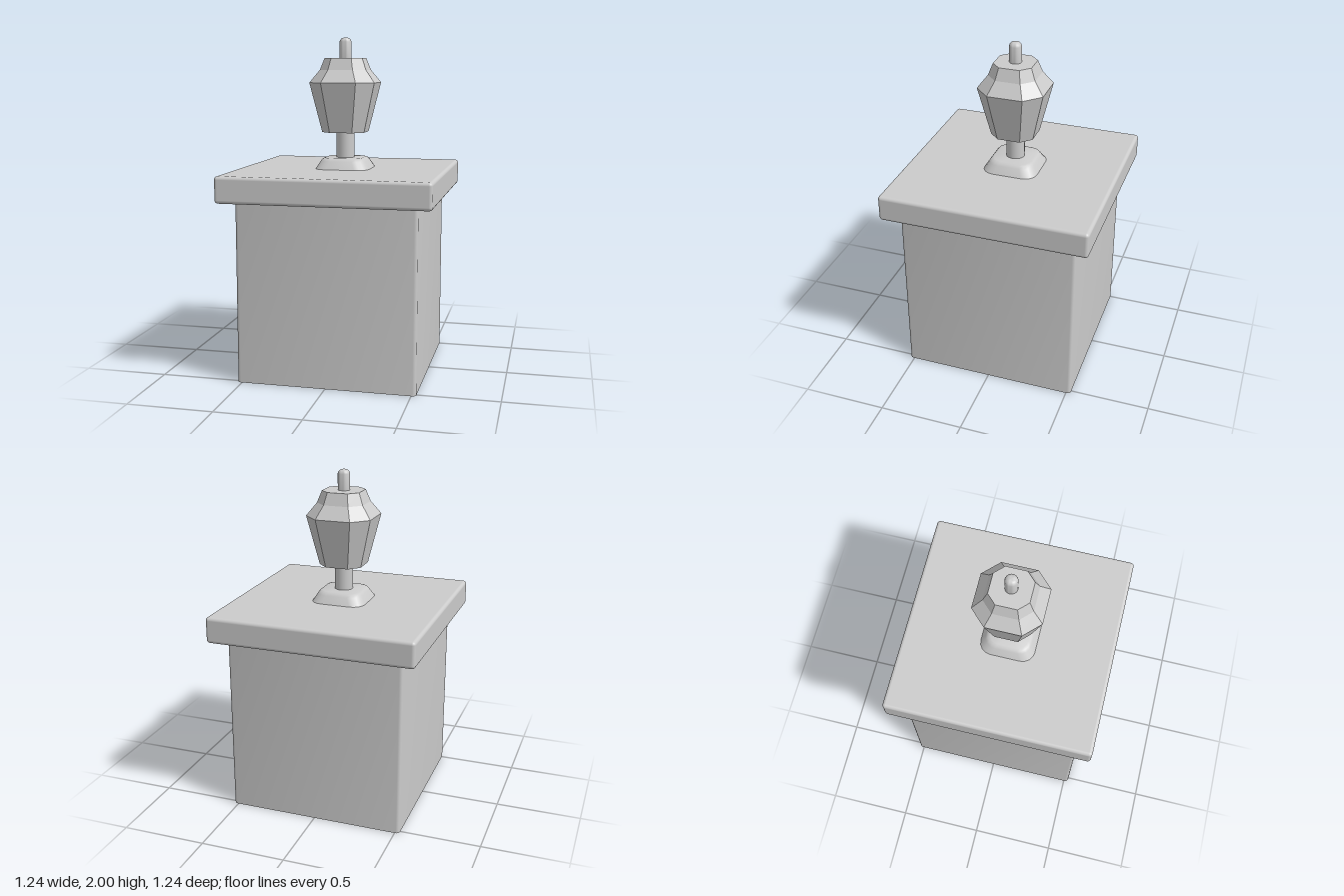
import * as THREE from 'three';
import { toCreasedNormals } from 'three/addons/utils/BufferGeometryUtils.js';
import { RoundedBoxGeometry } from 'three/addons/geometries/RoundedBoxGeometry.js';

// Lofts square rings given as [y, half width, corner size]; one segment per corner makes an octagon.
function loftSquares(sections, cornerSegments, capped) {
  const positions = [], index = [];
  const n = 4 * (cornerSegments + 1);
  for (const [y, half, r] of sections) {
    for (let c = 0; c < 4; c++) {
      const mid = Math.PI / 4 + c * Math.PI / 2;
      const cx = Math.sign(Math.cos(mid)) * (half - r);
      const cz = Math.sign(Math.sin(mid)) * (half - r);
      for (let s = 0; s <= cornerSegments; s++) {
        const a = (c + s / cornerSegments) * Math.PI / 2;
        positions.push(cx + r * Math.cos(a), y, cz + r * Math.sin(a));
      }
    }
  }
  const last = sections.length - 1;
  for (let i = 0; i < last; i++) {
    for (let j = 0; j < n; j++) {
      const a = i * n + j, b = i * n + (j + 1) % n;
      index.push(a, a + n, b, b, a + n, b + n);
    }
  }
  if (capped) {
    const base = positions.length / 3;
    positions.push(0, sections[0][0], 0, 0, sections[last][0], 0);
    for (let j = 0; j < n; j++) {
      const k = (j + 1) % n;
      index.push(base, j, k, base + 1, last * n + k, last * n + j);
    }
  }
  const geometry = new THREE.BufferGeometry();
  geometry.setAttribute('position', new THREE.Float32BufferAttribute(positions, 3));
  geometry.setIndex(index);
  return geometry;
}

export function createModel() {
  const model = new THREE.Group();
  model.name = 'pillarWithLantern';
  const smooth = new THREE.MeshStandardMaterial({ color: 0xcccccc });
  const faceted = new THREE.MeshStandardMaterial({ color: 0xcccccc, flatShading: true });
  const shell = new THREE.MeshStandardMaterial({ color: 0xcccccc, side: THREE.DoubleSide });

  function add(name, geometry, material, y = 0) {
    const mesh = new THREE.Mesh(geometry, material);
    mesh.name = name;
    mesh.position.y = y;
    model.add(mesh);
  }

  // Hollow square pillar, open underneath
  add('pillar', toCreasedNormals(loftSquares([[0, 0.527, 0.02], [1.07, 0.527, 0.02]], 4, false), 0.6), shell);

  // Overhanging slab with softened edges
  add('capSlab', new RoundedBoxGeometry(1.236, 0.156, 1.236, 4, 0.02), smooth, 1.145);

  // Lantern foot: sloping rounded square
  const foot = loftSquares([
    [1.22, 0.165, 0.075], [1.232, 0.158, 0.075], [1.268, 0.137, 0.07],
    [1.282, 0.126, 0.065], [1.287, 0.113, 0.06],
  ], 4, true);
  add('lanternFoot', toCreasedNormals(foot, 0.7), smooth);

  // Stem
  add('stem', new THREE.CylinderGeometry(0.055, 0.055, 0.17, 24), smooth, 1.36);

  // Eight-sided lantern; each ring keeps the same flat-to-corner proportion
  const rings = [[1.44, 0.128], [1.735, 0.197], [1.81, 0.14], [1.88, 0.114]];
  add('lantern', loftSquares(rings.map(([y, half]) => [y, half, half * 0.47]), 1, true), faceted);

  // Finial with a rounded tip
  const finial = [[0.036, 1.87], [0.036, 1.975], [0.032, 1.987], [0.024, 1.995], [0.014, 1.999], [0, 2]];
  const profile = finial.map(([r, y]) => new THREE.Vector2(r, y));
  add('finial', toCreasedNormals(new THREE.LatheGeometry(profile, 24), 0.7), smooth);

  return model;
}
